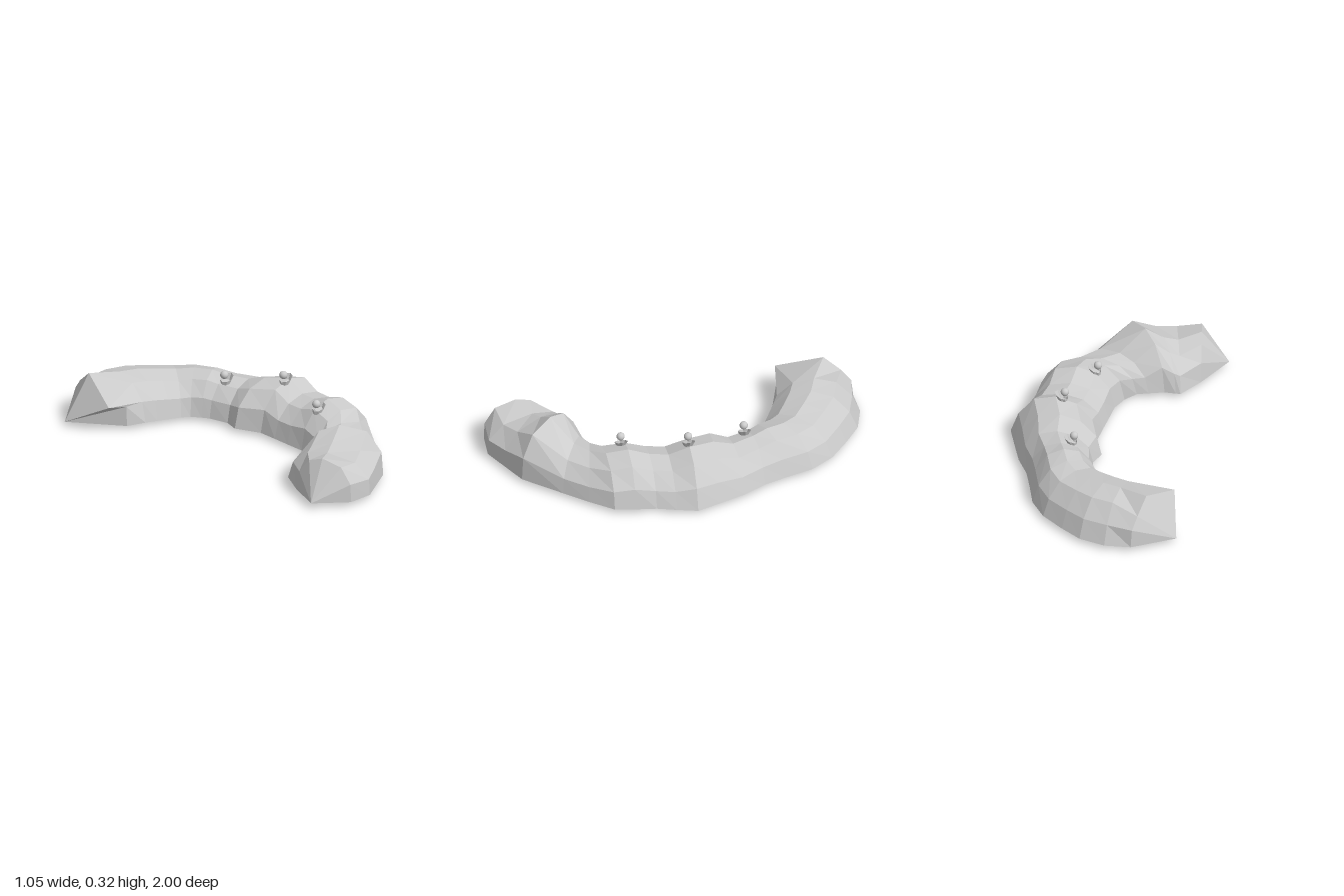
import * as THREE from 'three';

const grey = new THREE.MeshStandardMaterial({ color: 0xcccccc, flatShading: true, side: THREE.DoubleSide });
const smooth = new THREE.MeshStandardMaterial({ color: 0xcccccc });

// Ridge cross-section from inner foot to outer foot:
// [fraction across, fraction of height, extra fraction across towards the front end]
const PROFILE = [
  [0, 0, 0], [0.06, 0.5, 0], [0.24, 0.87, 0], [0.48, 1, 0], [0.73, 0.88, 0.09], [0.91, 0.47, 0.08], [1, 0, 0],
];

// Stations along the arc: outer foot x, z, inner foot x, z, crest height
const STATIONS = [
  [-0.17, -1.00, -0.25, -0.54, 0.24],
  [-0.03, -0.96, -0.19, -0.51, 0.235],
  [0.08, -0.88, -0.13, -0.48, 0.225],
  [0.20, -0.78, -0.07, -0.45, 0.215],
  [0.28, -0.66, -0.03, -0.42, 0.225],
  [0.325, -0.51, 0.00, -0.37, 0.23],
  [0.365, -0.39, 0.02, -0.33, 0.215],
  [0.43, -0.27, 0.04, -0.22, 0.21],
  [0.48, -0.13, 0.01, -0.14, 0.245],
  [0.525, 0.00, 0.06, 0.00, 0.265],
  [0.495, 0.11, 0.05, 0.11, 0.215],
  [0.465, 0.21, 0.04, 0.21, 0.22],
  [0.45, 0.32, 0.03, 0.32, 0.255],
  [0.435, 0.43, 0.00, 0.44, 0.23],
  [0.34, 0.55, -0.06, 0.47, 0.20],
  [0.24, 0.67, -0.12, 0.49, 0.20],
  [0.08, 0.86, -0.20, 0.515, 0.30],
  [-0.05, 0.93, -0.26, 0.515, 0.235],
  [-0.17, 0.995, -0.285, 0.515, 0.21],
  [-0.31, 0.99, -0.37, 0.65, 0.23],
];

// Last section at the back: its inner slope juts out over the inner wall
const BACK_SECTION = [
  [-0.35, 0.022, -0.58], [-0.35, 0.13, -0.585], [-0.47, 0.155, -0.60], [-0.365, 0.255, -0.84],
  [-0.335, 0.18, -0.93], [-0.315, 0.12, -0.98], [-0.31, 0.022, -0.99],
];

function section([ox, oz, ix, iz, h], i) {
  return PROFILE.map(([across, f, extra]) => {
    const t = across + extra * Math.max(oz, 0);
    const foot = i === 13 ? 0.025 * t : 0.022; // one inner foot dips to the ground
    return [ix + (ox - ix) * t, foot + (h - foot) * f, iz + (oz - iz) * t];
  });
}

// Curved ridge, an open-bottomed shell closed to a point at each end
function makeRidge() {
  const point = (...p) => PROFILE.map(() => p);
  const rings = [point(-0.53, 0.022, -0.86), BACK_SECTION, ...STATIONS.map(section), point(-0.48, 0.03, 0.86)];
  const n = PROFILE.length;
  const index = [];
  for (let i = 0; i < rings.length - 1; i++) {
    for (let j = 0; j < n - 1; j++) {
      const a = i * n + j, b = a + n;
      index.push(a, b, a + 1, b, b + 1, a + 1);
    }
  }
  const geo = new THREE.BufferGeometry();
  geo.setAttribute('position', new THREE.Float32BufferAttribute(rings.flat(2), 3));
  geo.setIndex(index);
  geo.computeVertexNormals();
  const ridge = new THREE.Mesh(geo, grey);
  ridge.name = 'ridge';
  return ridge;
}

// Small ornament: a slanted, pleated cup holding a ball
function makeOrnament(x, y, z) {
  const group = new THREE.Group();
  group.name = 'ornament';
  const cupGeo = new THREE.CylinderGeometry(0.036, 0.023, 0.045, 16, 1, true);
  const p = cupGeo.attributes.position;
  for (let i = 0; i < p.count; i++) {
    const pleat = i % 17 % 2 ? 0.9 : 1;
    const px = p.getX(i) * pleat, top = p.getY(i) > 0;
    p.setXYZ(i, px + (top ? 0.017 : 0.008), top ? 0.035 + px * 0.45 : px * 0.1, p.getZ(i) * pleat);
  }
  const cup = new THREE.Mesh(cupGeo, grey);
  cup.name = 'cup';
  const ball = new THREE.Mesh(new THREE.SphereGeometry(0.022, 16, 12), smooth);
  ball.name = 'ball';
  ball.position.set(-0.002, 0.056, 0);
  group.add(cup, ball);
  group.position.set(x, y, z);
  return group;
}

export function createModel() {
  const model = new THREE.Group();
  model.name = 'curvedRidge';
  model.add(makeRidge());
  for (const [x, y, z] of [[0.125, 0.187, -0.32], [0.237, 0.243, 0], [0.125, 0.208, 0.34]]) {
    model.add(makeOrnament(x, y, z));
  }
  return model;
}
